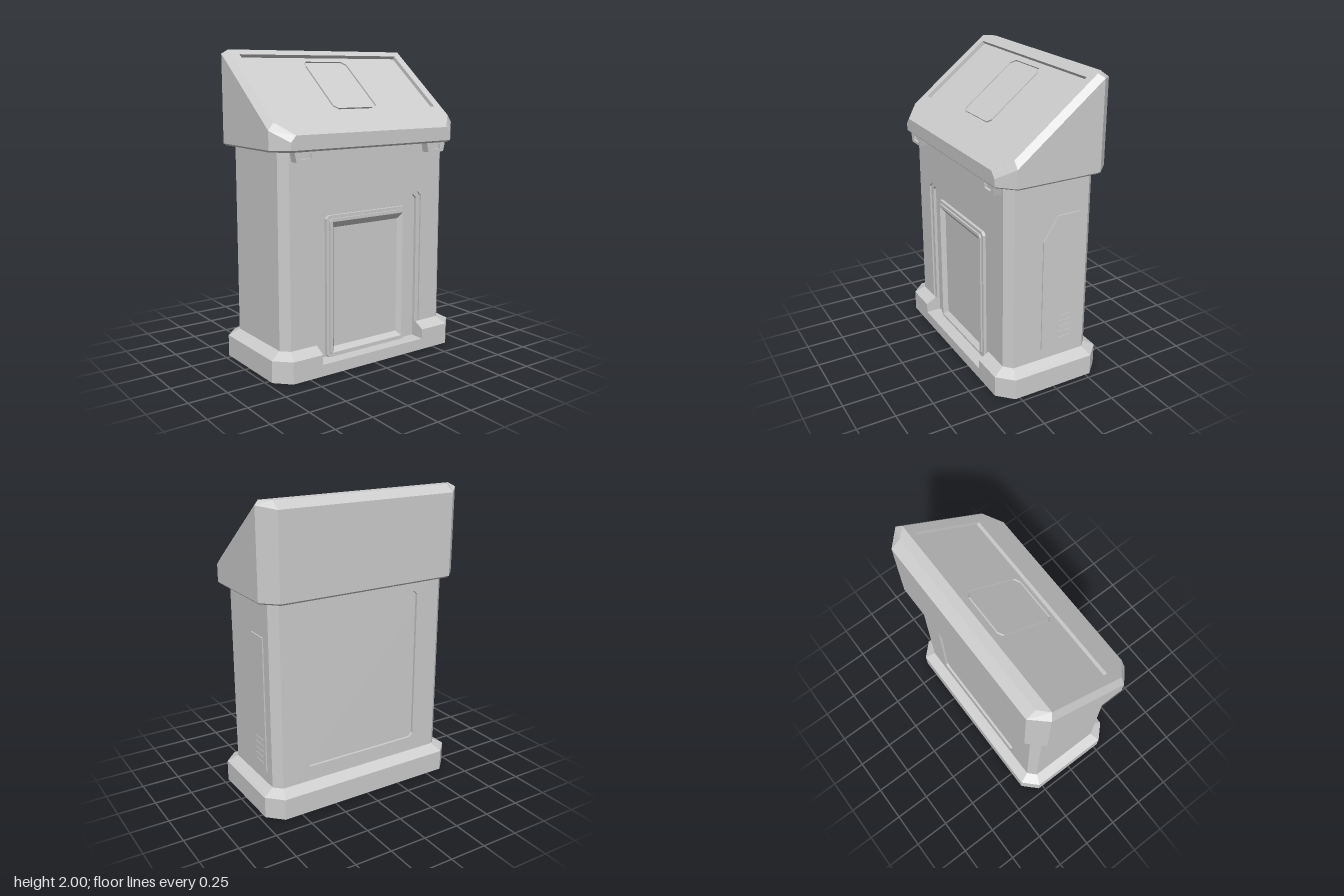
import * as THREE from 'three';

const grey = new THREE.MeshStandardMaterial({ color: 0xcccccc });
grey.name = 'light grey';

function add(parent, name, geometry, x = 0, y = 0, z = 0) {
  const mesh = new THREE.Mesh(geometry, grey);
  mesh.name = name;
  mesh.position.set(x, y, z);
  parent.add(mesh);
  return mesh;
}

// Completes a right-hand half outline with its mirror image
const mirror = half => [...half, ...half.slice().reverse().map(([x, ...rest]) => [-x, ...rest])];

// Plan outline with cut corners at height y
const octagon = (x, z, c, y) =>
  mirror([[x - c, y, z], [x, y, z - c], [x, y, c - z], [x - c, y, -z]]);

// Flat-shaded skin through closed loops, with optional extra fans
function loft(loops, fans = []) {
  const p = [];
  for (let k = 0; k < loops.length - 1; k++) {
    const lo = loops[k], hi = loops[k + 1];
    lo.forEach((a, i) => {
      const j = (i + 1) % lo.length;
      p.push(...a, ...lo[j], ...hi[j], ...a, ...hi[j], ...hi[i]);
    });
  }
  for (const f of fans)
    for (let i = 1; i < f.length - 1; i++) p.push(...f[0], ...f[i], ...f[i + 1]);
  const g = new THREE.BufferGeometry();
  g.setAttribute('position', new THREE.Float32BufferAttribute(p, 3));
  g.computeVertexNormals();
  return g;
}

// Rectangle with cut corners, counter-clockwise
const rect = (x, y0, y1, c = 0) => c
  ? [[-x + c, y0], [x - c, y0], [x, y0 + c], [x, y1 - c], [x - c, y1], [-x + c, y1], [-x, y1 - c], [-x, y0 + c]]
  : [[-x, y0], [x, y0], [x, y1], [-x, y1]];

// Flat plate from an outline and an optional hole, between two depths
function plate(outline, z0, z1, hole) {
  const shape = new THREE.Shape(outline.map(q => new THREE.Vector2(...q)));
  if (hole) shape.holes.push(new THREE.Path(hole.map(q => new THREE.Vector2(...q))));
  return new THREE.ExtrudeGeometry(shape, { depth: z1 - z0, bevelEnabled: false }).translate(0, 0, z0);
}

// Front skin with a doorway open at the bottom
const doorway = (x, top, c) => mirror([
  [0.593, 1.41], [0.593, 0.075], [x, 0.075], [x, top - c], [x - c, top],
]);

function createBase() {
  const base = new THREE.Group();
  base.name = 'base';
  const foot = octagon(0.715, 0.378, 0.095, 0), ledge = octagon(0.715, 0.378, 0.095, 0.075);
  add(base, 'foot', loft([foot, ledge], [foot.slice().reverse(), ledge]));
  // plinth with a bay cut out below the door
  const notched = (x, z, c, y) => mirror([[0.405, y, 0.27], [0.405, y, z],
    ...octagon(x, z, c, y).slice(0, 4)]);
  add(base, 'plinth', loft([
    notched(0.715, 0.378, 0.095, 0.075),
    notched(0.715, 0.378, 0.095, 0.14),
    notched(0.645, 0.307, 0.052, 0.18),
  ]));
  return base;
}

function createBody() {
  const body = new THREE.Group();
  body.name = 'body';
  const plan = y => mirror([[0.593, y, 0.275], [0.593, y, 0.307], [0.645, y, 0.257],
    [0.645, y, -0.257], [0.593, y, -0.307], [0.593, y, -0.29]]);
  add(body, 'core', loft([plan(0.075), plan(1.41)]));
  // stepped surround of the door bay
  add(body, 'innerSurround', plate(doorway(0.405, 1.06, 0.025), 0.275, 0.295));
  add(body, 'outerSurround', plate(doorway(0.435, 1.08, 0.03), 0.295, 0.307));
  // back skin around the recessed rear panel
  add(body, 'backFrame', plate(rect(0.593, 0.075, 1.41), -0.307, -0.29, rect(0.42, 0.28, 1.33, 0.025)));

  // door with a sloped recess
  const opening = rect(0.28, 0.105, 0.95);
  add(body, 'doorFrame', plate(rect(0.32, 0.075, 0.99, 0.02), 0.275, 0.295, opening));
  add(body, 'doorTrim', plate(rect(0.3, 0.095, 0.97, 0.015), 0.295, 0.306, opening));
  const floor = rect(0.255, 0.135, 0.91).map(q => [...q, 0.277]);
  const rim = opening.map(q => [...q, 0.306]);
  add(body, 'doorRecess', loft([floor.slice().reverse(), rim.slice().reverse()], [floor]));

  // service hatch with louvres on the left side
  const hatch = plate([[-0.06, 0.254], [0.19, 0.254], [0.19, 1.164], [0.04, 1.164], [-0.06, 1.01]], 0, 0.009);
  add(body, 'sideHatch', hatch, 0.644).rotation.y = Math.PI / 2;
  for (let i = 0; i < 5; i++)
    add(body, 'louvre', new THREE.BoxGeometry(0.006, 0.008, 0.1), 0.653, 0.31 + i * 0.04, -0.11);
  return body;
}

function createHead() {
  const head = new THREE.Group();
  head.name = 'head';
  const bottom = octagon(0.703, 0.366, 0.095, 1.403);
  const skirt = octagon(0.715, 0.378, 0.095, 1.415);
  const shoulder = mirror([[0.62, 1.463, 0.378], [0.715, 1.53, 0.283], [0.715, 1.975, -0.283], [0.62, 1.955, -0.378]]);
  const crown = mirror([[0.585, 1.503, 0.378], [0.68, 1.576, 0.285], [0.68, 2, -0.255], [0.62, 2, -0.315]]);
  add(head, 'shell', loft([bottom, skirt, shoulder, crown], [bottom.slice().reverse(), crown.slice(2, 6)]));

  // sloping desk top with a recess and a grooved centre plate
  const desk = new THREE.Group();
  desk.name = 'deskTop';
  desk.position.set(0, 1.503, 0.378);
  desk.rotation.x = -Math.atan2(0.633, 0.497);
  head.add(desk);
  const outline = mirror([[0.585, 0], [0.68, 0.118], [0.68, 0.805]]);
  add(desk, 'deskRim', plate(outline, -0.025, 0, rect(0.622, 0.207, 0.757)));
  add(desk, 'deskPanel', plate(rect(0.64, 0.19, 0.775), -0.037, -0.025, rect(0.172, 0.24, 0.72, 0.032)));
  add(desk, 'centrePlate', plate(rect(0.16, 0.252, 0.708, 0.028), -0.037, -0.025));
  add(desk, 'grooveFloor', plate(rect(0.2, 0.21, 0.75), -0.042, -0.036));

  // slotted tabs under the front edge
  for (const side of [-1, 1]) {
    const tab = new THREE.Group();
    tab.name = 'frontTab';
    tab.position.x = side * 0.51;
    head.add(tab);
    add(tab, 'tabBody', plate([[-0.065, 1.342], [0.065, 1.342], [0.08, 1.41], [-0.08, 1.41]], 0.3, 0.363, rect(0.038, 1.36, 1.392)));
    add(tab, 'slotBack', plate(rect(0.045, 1.355, 1.4), 0.302, 0.345));
  }
  return head;
}

export function createModel() {
  const model = new THREE.Group();
  model.name = 'lectern';
  model.add(createBase(), createBody(), createHead());
  return model;
}
